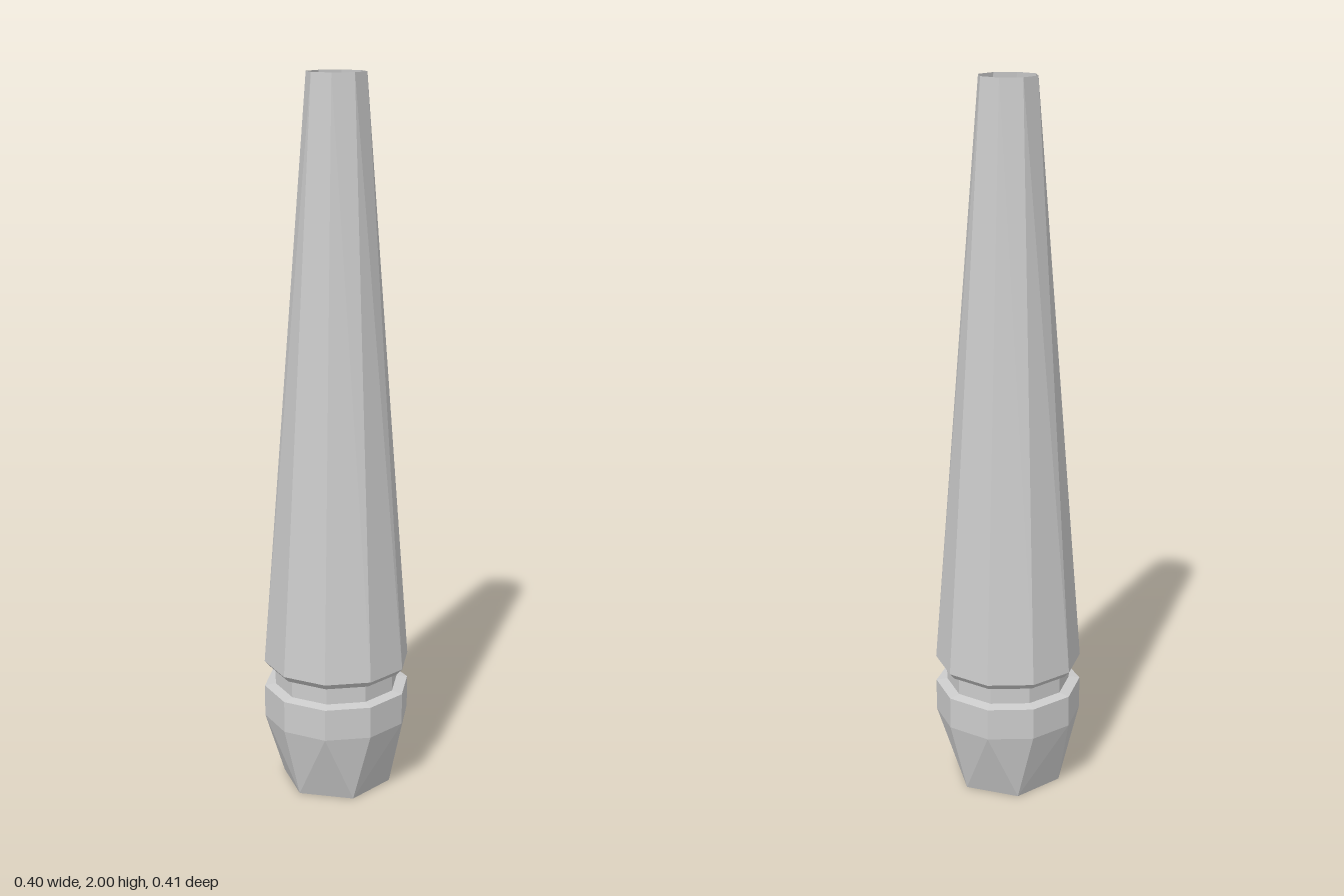
import * as THREE from 'three';

const material = new THREE.MeshStandardMaterial({
  color: 0xcccccc, flatShading: true, side: THREE.DoubleSide,
});

// Horizontal ring of n corners; angles start at +z and turn towards +x.
const ring = (n, radius, y, offset) => ({ n, radius, y, offset: THREE.MathUtils.degToRad(offset) });
const ten = (radius, y) => ring(10, radius, y, 6.5);

const angle = (r, i) => r.offset + (i / r.n) * Math.PI * 2;
const corner = (r, i) => [
  r.radius * Math.sin(angle(r, i)), r.y, r.radius * Math.cos(angle(r, i)),
];

// Joins two rings, which may have different corner counts, with a band of triangles.
function stitch(low, high, out) {
  let i = 0, j = 0;
  while (i < low.n || j < high.n) {
    const lowNext = angle(low, i + 0.5), highNext = angle(high, j + 0.5);
    const stepLow = j >= high.n || (i < low.n && lowNext <= highNext);
    out.push(...corner(low, i));
    if (stepLow) {
      out.push(...corner(low, ++i), ...corner(high, j));
    } else {
      out.push(...corner(high, j + 1), ...corner(high, j));
      j++;
    }
  }
}

function shell(name, rings) {
  const positions = [];
  for (let k = 0; k < rings.length - 1; k++) stitch(rings[k], rings[k + 1], positions);
  const geometry = new THREE.BufferGeometry();
  geometry.setAttribute('position', new THREE.Float32BufferAttribute(positions, 3));
  geometry.computeVertexNormals();
  const mesh = new THREE.Mesh(geometry, material);
  mesh.name = name;
  return mesh;
}

export function createModel() {
  const model = new THREE.Group();
  model.name = 'taperedTube';

  // Six-sided open foot widening into a ten-sided collar
  model.add(shell('base', [ring(6, 0.155, 0, -3), ten(0.206, 0.205), ten(0.206, 0.295)]));

  // Recessed band between the base and the long tube
  model.add(shell('groove', [
    ten(0.206, 0.295), ten(0.175, 0.3), ten(0.175, 0.352), ten(0.19, 0.352),
  ]));

  // Bevelled lip and long taper to an open eight-sided mouth
  model.add(shell('tube', [ten(0.19, 0.352), ten(0.206, 0.37), ring(8, 0.081, 2, 15)]));

  return model;
}
